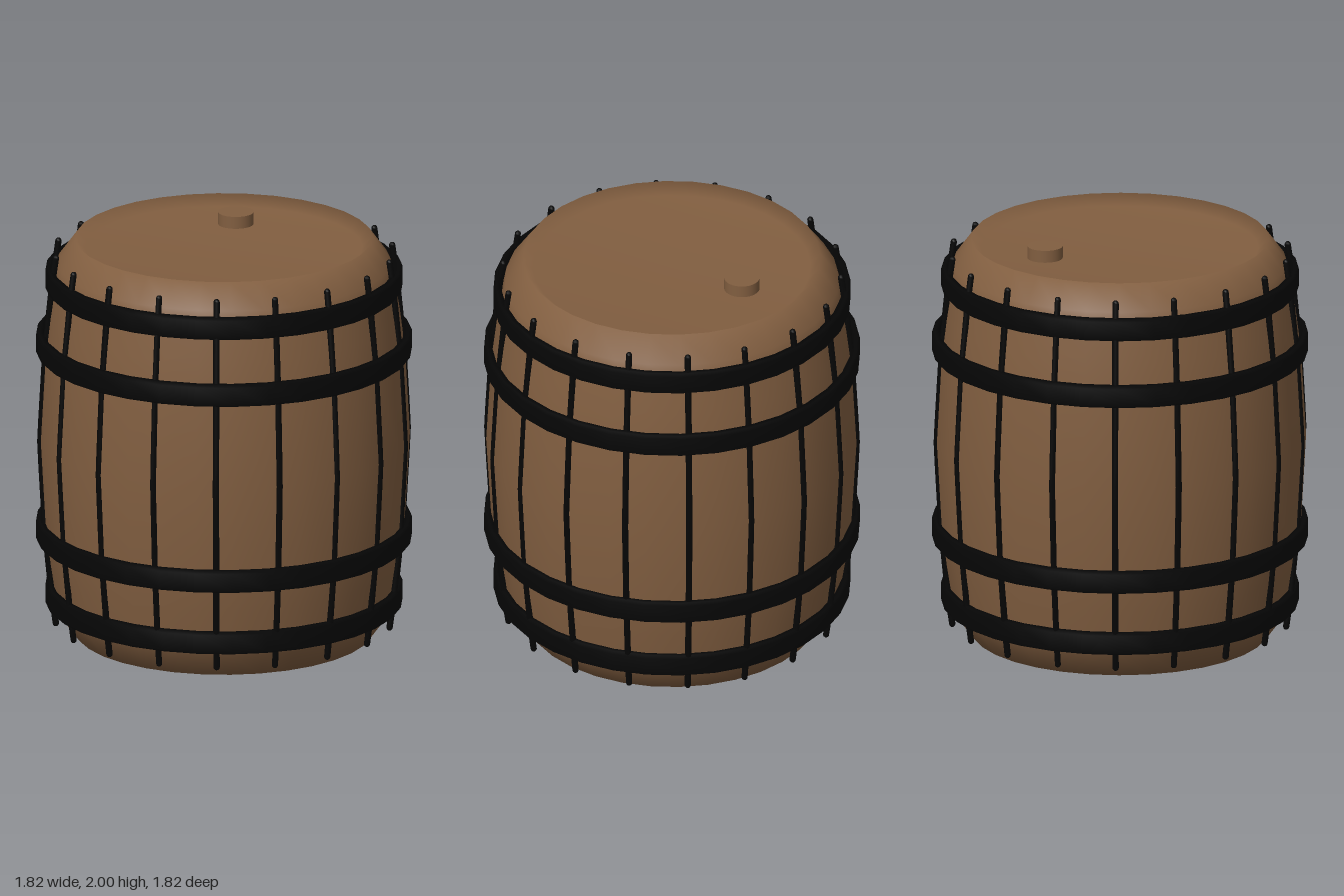
import * as THREE from 'three';

const SEGMENTS = 32;
const MID = 0.995; // height of the widest point

// Mirrors half a profile (listed from the middle upwards) about the barrel's middle
function mirrored(half) {
  const lower = half.slice(1).reverse().map(([r, y]) => [r, 2 * MID - y]);
  return [...lower, ...half];
}

function lathe(profile, material, name) {
  const points = profile.map(([r, y]) => new THREE.Vector2(r, y));
  const mesh = new THREE.Mesh(new THREE.LatheGeometry(points, SEGMENTS), material);
  mesh.name = name;
  return mesh;
}

export function createModel() {
  const wood = new THREE.MeshStandardMaterial({ color: 0x815e40 });
  wood.name = 'brown wood';
  const iron = new THREE.MeshStandardMaterial({ color: 0x060606 });
  iron.name = 'black iron';

  const barrel = new THREE.Group();
  barrel.name = 'barrel';

  // Bulging body with bevelled rims, a flat base and a recessed top head
  const staves = mirrored([
    [0.9, MID], [0.876, 1.42], [0.851, 1.62], [0.822, 1.8], [0.808, 1.87], [0.72, 1.99],
  ]);
  barrel.add(lathe([[0, 0], ...staves, [0.67, 1.94], [0, 1.94]], wood, 'body'));

  // Chamfered hoops: outer radius and height of the centre
  const half = 0.055, bevel = 0.012, thick = 0.036;
  for (const [r, y] of [[0.865, 0.2], [0.91, 0.525], [0.91, 1.468], [0.865, 1.793]]) {
    const inner = r - thick;
    barrel.add(lathe([
      [inner, y - half], [r - bevel, y - half], [r, y - half + bevel],
      [r, y + half - bevel], [r - bevel, y + half], [inner, y + half], [inner, y - half],
    ], iron, 'hoop'));
  }

  // Dark seams between the staves, their ends standing free of the rims
  const seamPath = mirrored([[0.896, MID], [0.87, 1.47], [0.837, 1.8], [0.82, 1.92]]);
  const curve = new THREE.CatmullRomCurve3(
    seamPath.map(([r, y]) => new THREE.Vector3(r, y, 0)), false, 'catmullrom', 0.1);
  const seamGeometry = new THREE.TubeGeometry(curve, 18, 0.0155, 8);
  const capGeometry = new THREE.SphereGeometry(0.0155, 8, 6);
  for (let i = 0; i < 18; i++) {
    const seam = new THREE.Group();
    seam.name = 'staveSeam';
    seam.add(new THREE.Mesh(seamGeometry, iron));
    for (const [r, y] of [seamPath[0], seamPath[seamPath.length - 1]]) {
      const cap = new THREE.Mesh(capGeometry, iron);
      cap.position.set(r, y, 0);
      seam.add(cap);
    }
    seam.rotation.y = (i / 18) * Math.PI * 2;
    barrel.add(seam);
  }

  // Bung standing on the recessed top head
  const bung = new THREE.Mesh(new THREE.CylinderGeometry(0.086, 0.086, 0.08, 32), wood);
  bung.name = 'bung';
  bung.position.set(0.325, 1.96, -0.22);
  barrel.add(bung);

  return barrel;
}
